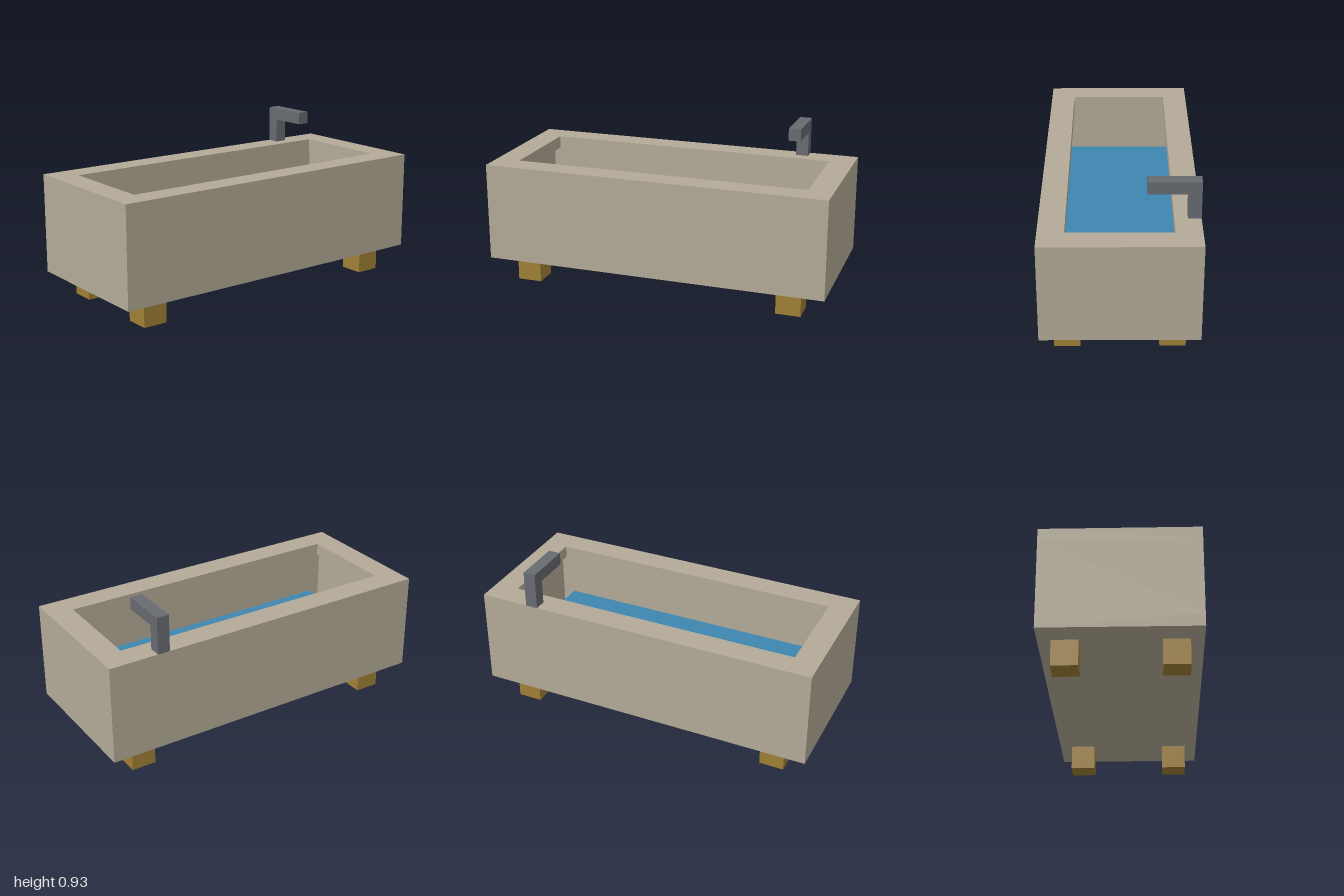
import * as THREE from 'three';

const U = 1 / 14; // grid unit: the tub is 28 units long

function material(name, color) {
  const m = new THREE.MeshStandardMaterial({ color });
  m.name = name;
  return m;
}

export function createModel() {
  const stone = material('stone', 0xb3aa97);
  const brass = material('brass', 0x9f7f35);
  const metal = material('metal', 0x676a70);
  const water = material('water', 0x3e85b0);

  const tub = new THREE.Group();
  tub.name = 'bathtub';

  // box between two corners, in grid units
  function block(parent, name, mat, [x0, y0, z0], [x1, y1, z1]) {
    const geo = new THREE.BoxGeometry((x1 - x0) * U, (y1 - y0) * U, (z1 - z0) * U);
    const mesh = new THREE.Mesh(geo, mat);
    mesh.name = name;
    mesh.position.set((x0 + x1) / 2 * U, (y0 + y1) / 2 * U, (z0 + z1) / 2 * U);
    parent.add(mesh);
  }

  const rectangle = (Type, hx, hz) => new Type([
    [-hx, -hz], [hx, -hz], [hx, hz], [-hx, hz],
  ].map(([x, z]) => new THREE.Vector2(x * U, z * U)));

  // rectangular ring of the tub's outline with the given border width
  function frame(name, border, y0, y1) {
    const shape = rectangle(THREE.Shape, 14, 6);
    shape.holes.push(rectangle(THREE.Path, 14 - border, 6 - border));
    const geo = new THREE.ExtrudeGeometry(shape, { depth: (y1 - y0) * U, bevelEnabled: false });
    geo.rotateX(-Math.PI / 2);
    const mesh = new THREE.Mesh(geo, stone);
    mesh.name = name;
    mesh.position.y = y0 * U;
    tub.add(mesh);
  }

  // basin: floor, thin walls and an overhanging rim
  block(tub, 'basinFloor', stone, [-14, 2, -6], [14, 3, 6]);
  frame('basinWalls', 1, 3, 9);
  frame('rim', 2, 9, 10);

  // water inside the basin
  block(tub, 'water', water, [-12, 3, -5], [12, 5, 5]);

  // four feet
  for (const sx of [-1, 1]) {
    for (const sz of [-1, 1]) {
      const x = sx * 11, z = sz * 4;
      block(tub, `${sz > 0 ? 'front' : 'back'}${sx > 0 ? 'Left' : 'Right'}Foot`, brass,
        [x - 1, 0, z - 1], [x + 1, 2, z + 1]);
    }
  }

  // faucet on the back rim
  const faucet = new THREE.Group();
  faucet.name = 'faucet';
  block(faucet, 'faucetPost', metal, [9, 10, -6], [10, 12, -5]);
  block(faucet, 'faucetSpout', metal, [9, 12, -6], [10, 13, -2]);
  tub.add(faucet);

  return tub;
}
